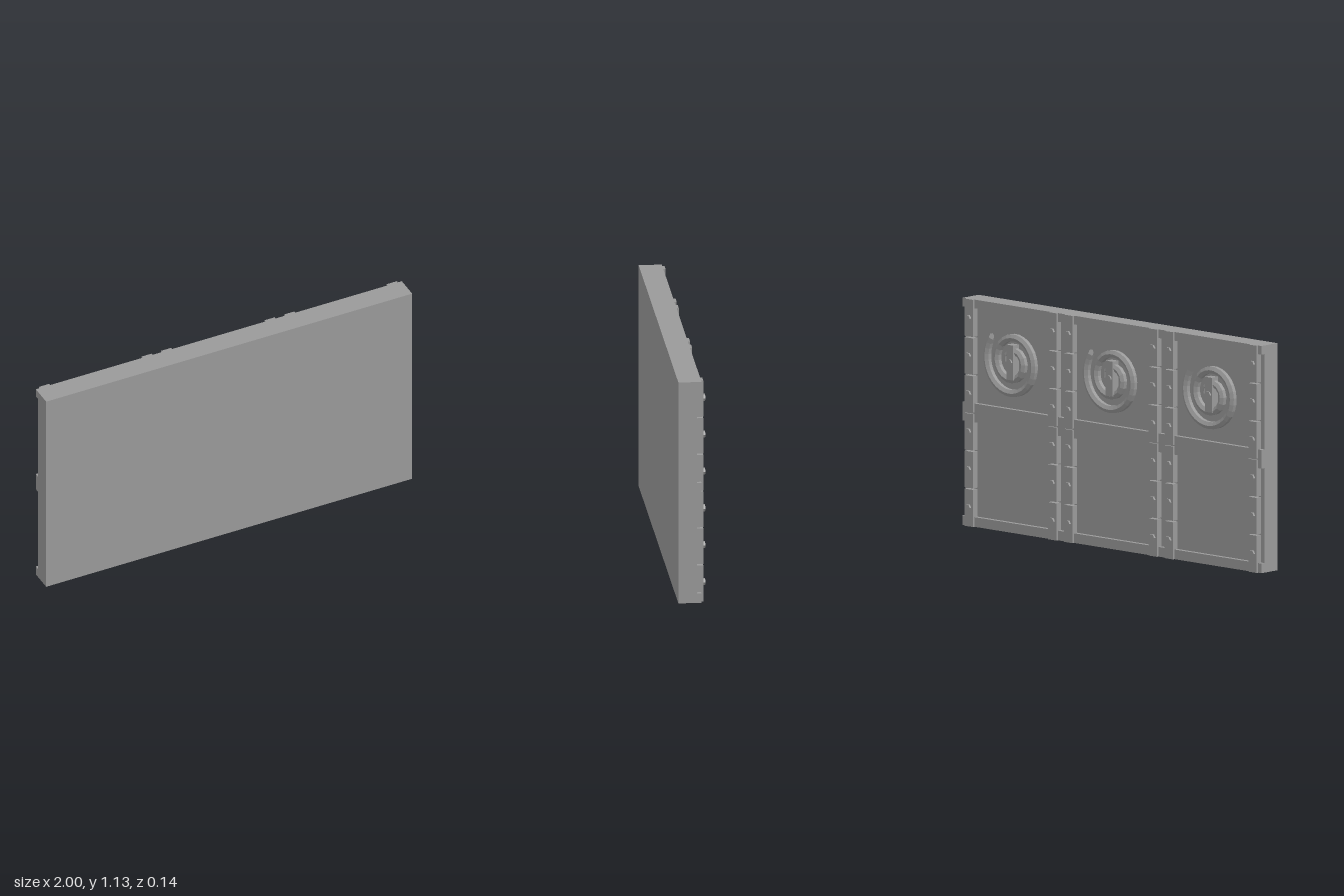
import * as THREE from 'three';

export function createModel() {
  const root = new THREE.Group();
  root.name = 'wallPanel';
  const steel = new THREE.MeshStandardMaterial({ color: 0x999999, flatShading: true });
  steel.name = 'grey steel';

  const H = 1.13;      // panel height
  const floorZ = -0.02; // rear face of the slab

  function add(parent, geometry, name, x = 0, y = 0, z = 0) {
    const mesh = new THREE.Mesh(geometry, steel);
    mesh.name = name;
    mesh.position.set(x, y, z);
    parent.add(mesh);
    return mesh;
  }
  // box given by its ranges in y and z
  function slab(parent, name, x, width, y0, y1, zBack, zFront) {
    return add(parent, new THREE.BoxGeometry(width, y1 - y0, zFront - zBack), name,
      x, (y0 + y1) / 2, (zBack + zFront) / 2);
  }
  // six-sided bolt head facing the rear, corners towards +x and -x
  const boltGeometry = new THREE.CylinderGeometry(0.018, 0.018, 0.022, 6);
  boltGeometry.rotateY(Math.PI / 2 - Math.PI / 3);
  boltGeometry.rotateX(Math.PI / 2);
  boltGeometry.rotateZ(Math.PI / 3);

  // main slab
  slab(root, 'mainSlab', 0, 2, 0, H, floorZ, 0.072);

  // horizontal rails
  for (const [name, y0, y1] of [['bottomRail', 0, 0.048], ['middleRail', 0.52, 0.613], ['topRail', 1.087, H]]) {
    slab(root, name, 0, 2, y0, y1, -0.042, floorZ);
  }

  // vertical strips of six bolted plates
  const pitch = H / 6, gap = 0.007;
  for (const x of [-0.95, -0.39, -0.283, 0.283, 0.39, 0.95]) {
    const strip = new THREE.Group();
    strip.name = 'boltedStrip';
    root.add(strip);
    for (let i = 0; i < 6; i++) {
      const y0 = i * pitch + (i > 0 ? gap / 2 : 0);
      const y1 = (i + 1) * pitch - (i < 5 ? gap / 2 : 0);
      slab(strip, 'stripPlate', x, 0.056, y0, y1, -0.053, floorZ);
      add(strip, boltGeometry, 'bolt', x, (i + 0.5) * pitch, -0.053);
    }
  }

  // spiral rib, winding inwards from the upper +x side
  class Spiral extends THREE.Curve {
    getPoint(t, target = new THREE.Vector3()) {
      const turn = t * 2.1;
      const a = 0.64 - turn * Math.PI * 2;
      const r = 0.18 - 0.068 * turn;
      return target.set(r * Math.cos(a), r * Math.sin(a), 0);
    }
  }
  const path = new Spiral();
  const spiralGeometry = new THREE.TubeGeometry(path, 48, 0.02, 6, false);

  // spiral ornaments in the upper panels
  for (const x of [-0.665, 0, 0.665]) {
    const ornament = new THREE.Group();
    ornament.name = 'spiralOrnament';
    ornament.position.set(x, 0.85, 0);
    root.add(ornament);
    add(ornament, spiralGeometry, 'spiralRib', 0, 0, -0.039);
    // flat closing cap at the outer end of the rib
    const cap = add(ornament, new THREE.CircleGeometry(0.02, 6), 'ribEnd');
    cap.position.copy(path.getPoint(0)).setZ(-0.039);
    cap.lookAt(cap.position.clone().sub(path.getTangent(0)));
    slab(ornament, 'centreBar', 0, 0.046, -0.087, 0.087, -0.063, floorZ);
    add(ornament, boltGeometry, 'centreBolt', 0, 0, -0.06);
  }
  return root;
}
